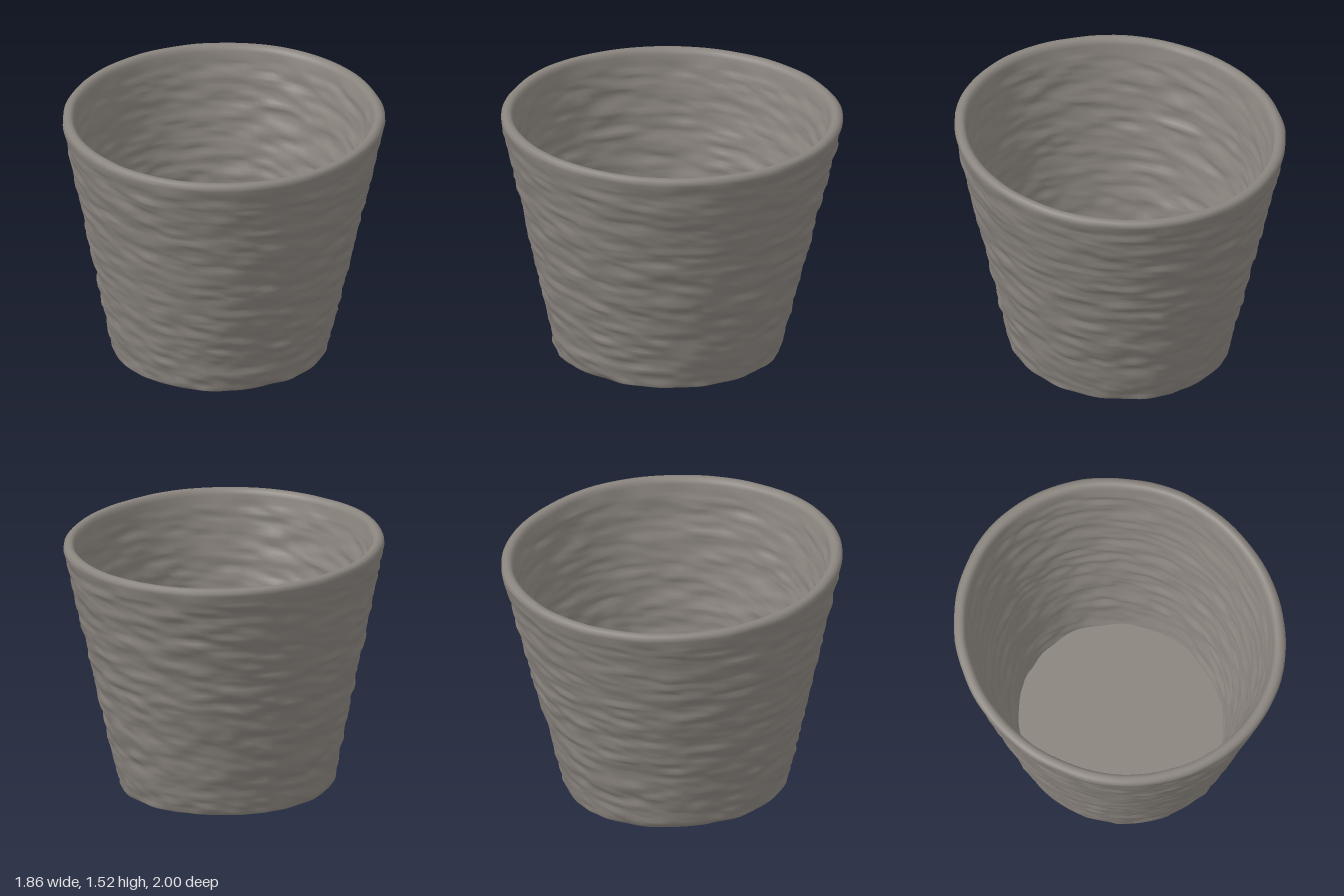
import * as THREE from 'three';
import { mergeVertices } from 'three/addons/utils/BufferGeometryUtils.js';

const TOP = 1.485;
const lerp = THREE.MathUtils.lerp;

// seeded value noise, periodic around the pot
const hash = (i, j) => {
  const s = Math.sin(i * 127.1 + j * 311.7) * 43758.5453;
  return s - Math.floor(s);
};
function noise(u, v, cells) {
  const i = Math.floor(u), j = Math.floor(v);
  const smooth = (f) => f * f * (3 - 2 * f);
  const a = smooth(u - i), b = smooth(v - j);
  const h = (p, q) => hash(((p % cells) + cells) % cells, q);
  return lerp(lerp(h(i, j), h(i + 1, j), a), lerp(h(i, j + 1), h(i + 1, j + 1), a), b) - 0.5;
}

// hand-made warp: oval plan, off-centre foot, slight tilt, horizontal streaks
function warp(geometry, roughness) {
  const p = geometry.attributes.position;
  for (let i = 0; i < p.count; i++) {
    const x0 = p.getX(i), y0 = p.getY(i), z0 = p.getZ(i);
    const r = Math.hypot(x0, z0);
    const turn = Math.atan2(x0, z0) / (Math.PI * 2) + 0.5;
    const t = y0 / TOP;
    const fade = Math.min(1, Math.max(0.25, (TOP - y0) / 0.12));
    const streak = noise(turn * 36, y0 * 26, 36) + 0.6 * noise(turn * 60, y0 * 45 + 70, 60);
    const lump = noise(turn * 14, 5.5, 14) * 0.012;
    const k = r > 0.01 ? 1 + roughness * (streak * 0.018 * fade + lump) / r : 1;
    const x = x0 * k - 0.015 * (1 - t);
    const z = z0 * k * lerp(1.055, 1.068, t) + 0.025 * (1 - t);
    p.setXYZ(i, x, y0 + 0.016 + 0.021 * z - 0.01 * x + roughness * lump * 0.6 * t, z);
  }
  geometry.deleteAttribute('uv');
  geometry.deleteAttribute('normal');
  const merged = mergeVertices(geometry, 1e-4);
  merged.computeVertexNormals();
  return merged;
}

export function createModel() {
  const group = new THREE.Group();
  group.name = 'pot';
  const clay = new THREE.MeshStandardMaterial({ color: 0x8a847e });

  // wall profile: foot, outer face, rounded rim, inner face
  const profile = [];
  const add = (x, y) => profile.push(new THREE.Vector2(x, y));
  const rows = 70;
  add(0.575, 0.04);
  add(0.59, 0.008);
  add(0.618, 0);
  for (let i = 0; i <= rows; i++) {
    const s = i / rows;
    add(lerp(0.626, 0.925, s), lerp(0.008, 1.41, s));
  }
  [[0.934, 1.445], [0.933, 1.465], [0.922, 1.479], [0.905, 1.485],
    [0.888, 1.483], [0.873, 1.472], [0.865, 1.45]].forEach(([x, y]) => add(x, y));
  for (let i = 0; i <= rows; i++) {
    const s = i / rows;
    add(lerp(0.858, 0.575, s), lerp(1.41, 0.04, s));
  }
  const wall = new THREE.Mesh(warp(new THREE.LatheGeometry(profile, 120), 1), clay);
  wall.name = 'wall';
  group.add(wall);

  // smooth floor, recessed a little above the foot
  const floor = new THREE.Group();
  floor.name = 'floor';
  for (const [name, y, side] of [['floorTop', 0.055, -1], ['floorUnderside', 0.03, 1]]) {
    const disc = new THREE.CircleGeometry(0.585, 48);
    disc.rotateX(side * Math.PI / 2);
    disc.translate(0, y, 0);
    const mesh = new THREE.Mesh(warp(disc, 0), clay);
    mesh.name = name;
    floor.add(mesh);
  }
  group.add(floor);
  return group;
}
